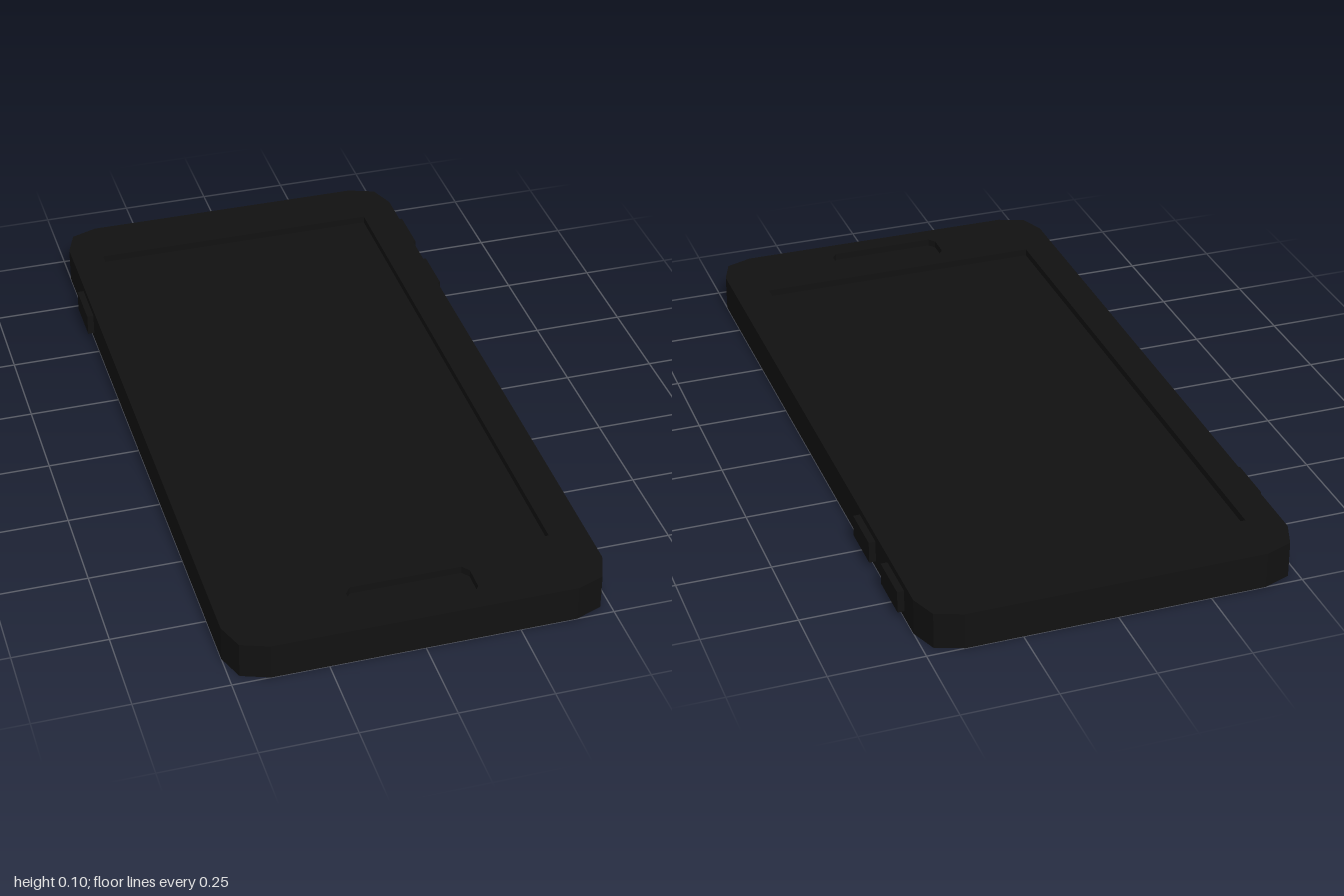
import * as THREE from 'three';

const HEIGHT = 0.1;
const RECESS = 0.02;

// Corner-cut rectangle points; cut lists [dx, dy] insets from the corner, walked counter-clockwise
function outline(cx, cy, halfW, halfH, cut) {
  const corner = (sx, sy) => {
    const pts = cut.map(([dx, dy]) =>
      new THREE.Vector2(cx + sx * (halfW - dx), cy + sy * (halfH - dy)));
    return sx * sy > 0 ? pts : pts.reverse();
  };
  return [...corner(1, 1), ...corner(-1, 1), ...corner(-1, -1), ...corner(1, -1)];
}

// Extrude a flat plan (shape y = -z) upward from y0
function slab(shape, y0, depth) {
  return new THREE.ExtrudeGeometry(shape, { depth, bevelEnabled: false })
    .rotateX(-Math.PI / 2)
    .translate(0, y0, 0);
}

export function createModel() {
  const group = new THREE.Group();
  const black = new THREE.MeshStandardMaterial({ color: 0x111111 });
  const add = (name, geometry) => {
    const mesh = new THREE.Mesh(geometry, black);
    mesh.name = name;
    group.add(mesh);
    return mesh;
  };

  // Lower case, whose top is the floor of the screen and home button recesses
  const plan = outline(0, 0, 0.5, 1, [[0, 0.1], [0.027, 0.027], [0.1, 0]]);
  add('case', slab(new THREE.Shape(plan), 0, HEIGHT - RECESS));

  // Top bezel with openings for the screen and the home button
  const bezel = new THREE.Shape(plan);
  bezel.holes.push(
    new THREE.Path(outline(-0.005, 0.03, 0.405, 0.81, [[0, 0]])),
    new THREE.Path(outline(-0.003, -0.89, 0.163, 0.052, [[0, 0.02], [0.015, 0]])),
  );
  add('bezel', slab(bezel, HEIGHT - RECESS, RECESS));

  // Side buttons: two on the left, one on the right
  const buttons = [
    ['upperVolumeButton', 1, -0.76],
    ['lowerVolumeButton', 1, -0.525],
    ['powerButton', -1, -0.635],
  ];
  for (const [name, side, z] of buttons) {
    add(name, new THREE.BoxGeometry(0.04, 0.06, 0.135)).position.set(side * 0.498, 0.05, z);
  }

  return group;
}
